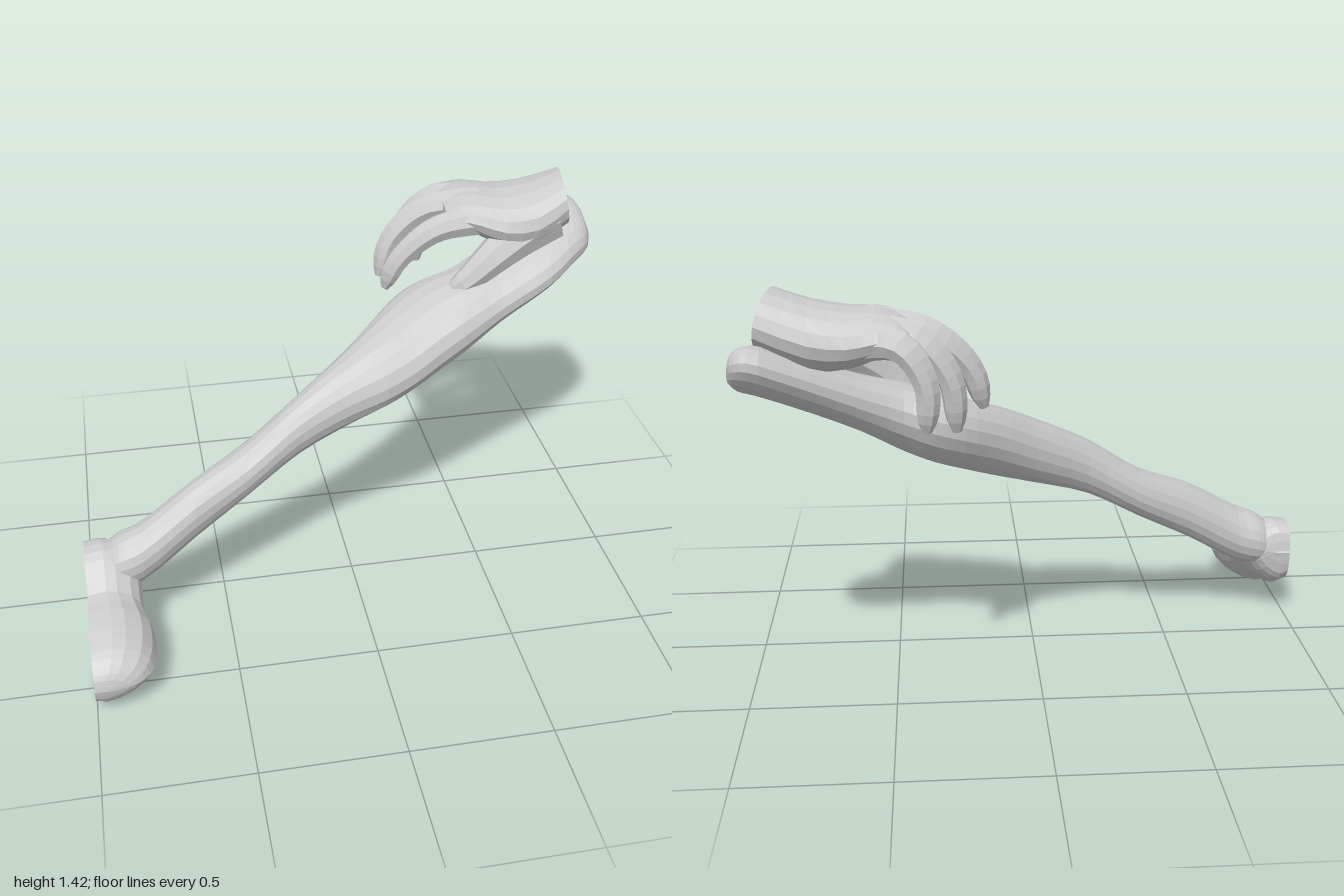
import * as THREE from 'three';

const material = new THREE.MeshStandardMaterial({ color: 0xcccccc, flatShading: true, side: THREE.DoubleSide });
const V = (x, y, z) => new THREE.Vector3(x, y, z);

// Skin between cross-sections; "closed" joins each section into a loop
function skin(rings, closed, capStart, capEnd) {
  const n = rings[0].length, pos = [], idx = [];
  rings.forEach(r => r.forEach(p => pos.push(p.x, p.y, p.z)));
  for (let i = 0; i < rings.length - 1; i++) {
    for (let j = 0; j < (closed ? n : n - 1); j++) {
      const a = i * n + j, b = i * n + (j + 1) % n;
      idx.push(a, b, b + n, a, b + n, a + n);
    }
  }
  const cap = (row, flip) => {
    const c = V(0, 0, 0), id = pos.length / 3;
    rings[row].forEach(p => c.addScaledVector(p, 1 / n));
    pos.push(c.x, c.y, c.z);
    for (let j = 0; j < n; j++) {
      const a = row * n + j, b = row * n + (j + 1) % n;
      flip ? idx.push(id, b, a) : idx.push(id, a, b);
    }
  };
  if (capStart) cap(0, true);
  if (capEnd) cap(rings.length - 1, false);
  const g = new THREE.BufferGeometry();
  g.setAttribute('position', new THREE.Float32BufferAttribute(pos, 3));
  g.setIndex(idx);
  g.computeVertexNormals();
  return g;
}

// Add smooth intermediate sections
function refine(rings, steps) {
  const curves = rings[0].map((_, j) => new THREE.CatmullRomCurve3(rings.map(r => r[j])));
  const total = (rings.length - 1) * steps;
  return Array.from({ length: total + 1 }, (_, i) => curves.map(c => c.getPoint(i / total)));
}

// Elliptical section across x: [x, y, z, half height, half depth];
// tilt lifts the back edge, sy and sz slant the section along x
function ellipse([x, y, z, ry, rz, tilt = 0, sy = 0, sz = 0], sides) {
  return Array.from({ length: sides }, (_, j) => {
    const a = j / sides * Math.PI * 2, dz = Math.sin(a) * rz, dy = Math.cos(a) * ry - tilt * dz;
    return V(x + sy * dy + sz * dz, y + dy, z + dz);
  });
}

// Tapered tube with a rounded tip
function digit(points, r0, r1) {
  const curve = new THREE.CatmullRomCurve3(points.map(p => V(...p)));
  const n = 14, sides = 8, f = curve.computeFrenetFrames(n), rings = [];
  for (let i = 0; i <= n; i++) {
    const t = i / n, p = curve.getPointAt(t);
    const r = (r0 + (r1 - r0) * t) * (i === n ? 0.45 : i === n - 1 ? 0.85 : 1);
    rings.push(Array.from({ length: sides }, (_, j) => {
      const a = j / sides * Math.PI * 2;
      return p.clone().addScaledVector(f.normals[i], r * Math.cos(a)).addScaledVector(f.binormals[i], r * Math.sin(a));
    }));
  }
  return skin(rings, true, true, true);
}

export function createModel() {
  const model = new THREE.Group();
  model.name = 'limbAndHand';
  const add = (name, geometry, parent = model) => {
    const m = new THREE.Mesh(geometry, material);
    m.name = name;
    parent.add(m);
  };

  // Long limb, from inside the ankle up to its rounded upper end
  const limb = [
    [-0.93, 0.285, 0.19, 0.08, 0.075],
    [-0.88, 0.305, 0.19, 0.1, 0.095],
    [-0.8, 0.33, 0.185, 0.107, 0.095],
    [-0.6, 0.45, 0.13, 0.105, 0.09],
    [-0.4, 0.55, 0.06, 0.092, 0.09, 0.05],
    [-0.2, 0.675, 0, 0.103, 0.085, 0.1],
    [0, 0.765, -0.08, 0.12, 0.12, 0.2],
    [0.13, 0.82, -0.14, 0.128, 0.16, 0.28],
    [0.25, 0.87, -0.205, 0.128, 0.19, 0.28],
    [0.35, 0.91, -0.24, 0.13, 0.185, 0.26],
    [0.45, 0.95, -0.255, 0.125, 0.165, 0.26],
    [0.6, 1.02, -0.31, 0.1, 0.165, 0.26],
    [0.8, 1.115, -0.39, 0.09, 0.185, 0.28],
    [0.92, 1.168, -0.45, 0.083, 0.165, 0.3],
    [0.975, 1.168, -0.455, 0.065, 0.12, 0.3],
    [1, 1.15, -0.44, 0.03, 0.05, 0.3],
  ].map(s => ellipse(s, 18));
  add('limb', skin(refine(limb, 3), true, false, true));

  // Half foot and heel, open along the inner side: [z, bottom, top, outer x]
  const outline = [[0, 0.06], [0.22, 0], [0.45, 0.06], [0.7, 0.19], [0.9, 0.36], [1, 0.52], [0.94, 0.7], [0.8, 0.86], [0.55, 0.97], [0.35, 1], [0, 0.96]];
  const foot = [
    [0.097, 0.27, 0.28, -0.94], [0.112, 0.18, 0.35, -0.88], [0.15, 0.135, 0.38, -0.84], [0.22, 0.1, 0.38, -0.81],
    [0.28, 0.085, 0.34, -0.81], [0.34, 0.065, 0.29, -0.81], [0.42, 0.025, 0.278, -0.785], [0.5, 0, 0.262, -0.78],
    [0.58, 0.02, 0.235, -0.795], [0.63, 0.05, 0.2, -0.83], [0.655, 0.085, 0.165, -0.88], [0.665, 0.125, 0.125, -0.96],
  ].map(([z, lo, hi, x]) => outline.map(([u, v]) => V(-1 + u * (x + 1), lo + v * (hi - lo), z)));
  add('foot', skin(refine(foot, 2), false));

  // Hand resting on the limb, cut flat at the wrist
  const hand = new THREE.Group();
  hand.name = 'hand';
  model.add(hand);
  const palm = [
    [0.42, 1.3, -0.46, 0.03, 0.12],
    [0.46, 1.295, -0.455, 0.055, 0.165],
    [0.53, 1.285, -0.44, 0.08, 0.185],
    [0.62, 1.265, -0.41, 0.097, 0.195],
    [0.74, 1.27, -0.39, 0.112, 0.178],
    [0.88, 1.325, -0.39, 0.097, 0.142, 0, -0.2, -0.17],
  ].map(s => ellipse(s, 16));
  add('palm', skin(refine(palm, 2), true, true, true), hand);

  const fingers = {
    littleFinger: [[0.6, 1.27, -0.53], [0.45, 1.27, -0.6], [0.375, 1.16, -0.62], [0.375, 1.0, -0.615]],
    ringFinger: [[0.58, 1.3, -0.48], [0.4, 1.28, -0.54], [0.3, 1.16, -0.555], [0.28, 0.98, -0.54]],
    middleFinger: [[0.56, 1.31, -0.41], [0.36, 1.28, -0.455], [0.235, 1.17, -0.455], [0.19, 1.03, -0.44]],
    indexFinger: [[0.56, 1.28, -0.33], [0.37, 1.25, -0.325], [0.24, 1.14, -0.33], [0.19, 1.03, -0.335]],
  };
  for (const [name, path] of Object.entries(fingers)) add(name, digit(path, 0.06, 0.034), hand);
  add('thumb', digit([[0.8, 1.27, -0.34], [0.68, 1.21, -0.3], [0.57, 1.14, -0.265], [0.48, 1.07, -0.25], [0.41, 1.025, -0.25]], 0.105, 0.036), hand);

  return model;
}
